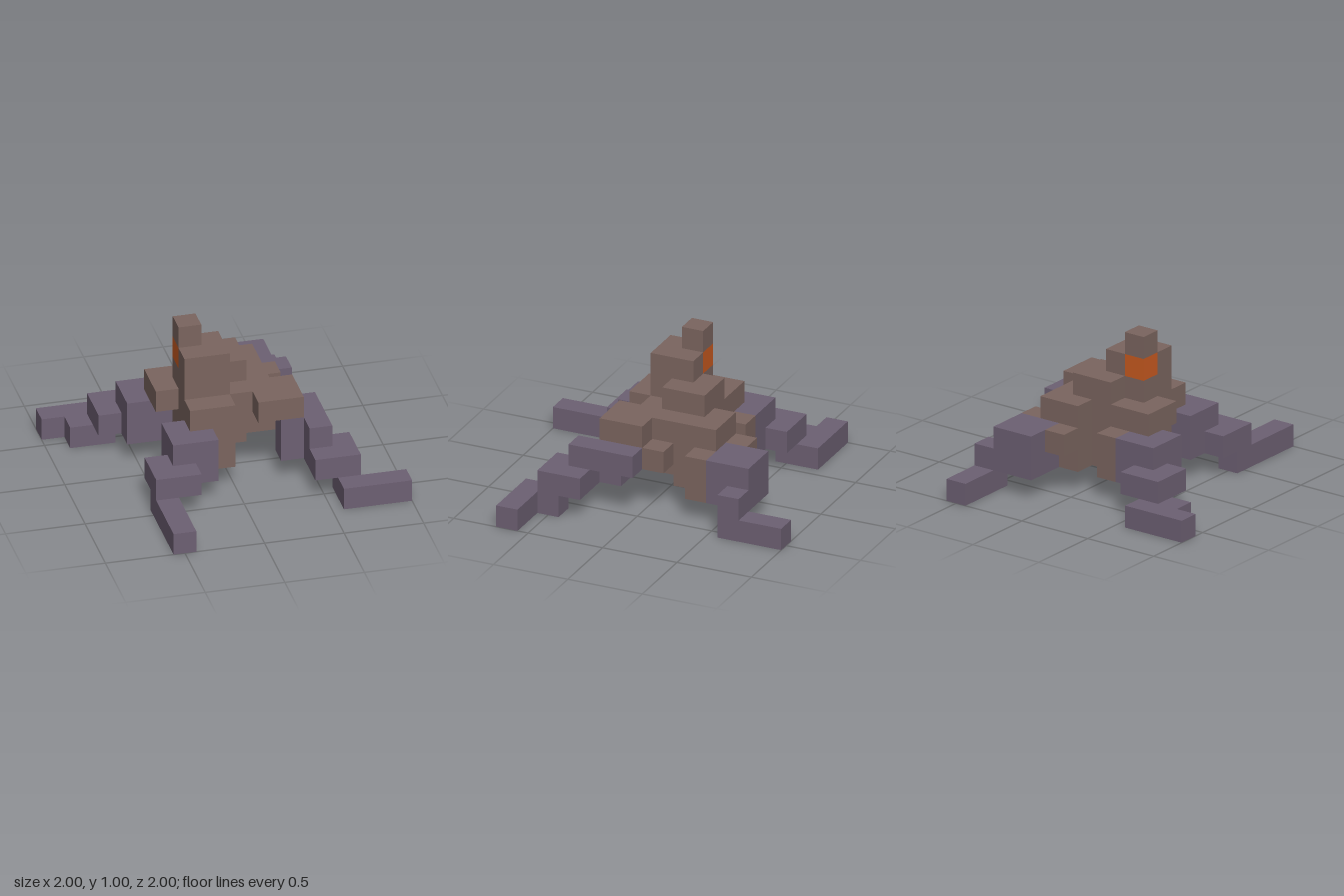
import * as THREE from 'three';

const U = 1 / 7; // edge of one block

function material(name, color) {
  const m = new THREE.MeshStandardMaterial({ color });
  m.name = name;
  return m;
}

export function createModel() {
  const brown = material('brown bark', 0x7b655f);
  const purple = material('dusky purple', 0x6d6073);
  const orange = material('glowing orange', 0xc85a20);
  const model = new THREE.Group();
  model.name = 'blockModel';

  // Each box is [x0, x1, y0, y1, z0, z1] in block units
  function part(name, mat, boxes) {
    const group = new THREE.Group();
    group.name = name;
    boxes.forEach(([x0, x1, y0, y1, z0, z1], i) => {
      const geo = new THREE.BoxGeometry((x1 - x0) * U, (y1 - y0) * U, (z1 - z0) * U);
      const mesh = new THREE.Mesh(geo, mat);
      mesh.name = `${name}Block${i + 1}`;
      mesh.position.set((x0 + x1) * U / 2, (y0 + y1) * U / 2, (z0 + z1) * U / 2);
      group.add(mesh);
    });
    model.add(group);
  }

  // Stepped body
  part('body', brown, [
    [-2, 0, 1, 4, 0, 2],    // front right shoulder
    [-2, 0, 1, 4, -2, 0],   // core
    [-3, -2, 3, 4, -2, 0],  // side overhang
    [0, 2, 2, 4, -3, 1],    // left half
    [0, 1, 1, 2, -3, 0],    // stepped underside
    [1, 2, 1, 2, -3, -1],
    [1, 2, 3, 4, 1, 2],     // front left shoulder
    [2, 3, 3, 4, 0, 2],
    [-1, 1, 4, 5, -2, -1],  // upper back step
    [0, 1, 4, 5, -1, 0],
  ]);
  part('bodyKnobs', brown, [
    [2, 3, 2, 3, -1, 0],
    [2, 3, 1, 3, -3, -2],
    [0, 1, 2, 3, -4, -3],
    [-2, -1, 1, 3, -3, -2],
  ]);

  // Tower with a glowing block at its back corner
  part('tower', brown, [
    [-2, 0, 4, 5, -1, 1],
    [-2, 0, 5, 6, 0, 1],
    [-1, 0, 5, 6, -1, 0],
    [-2, -1, 6, 7, -1, 0],
  ]);
  part('ember', orange, [[-2, -1, 5, 6, -1, 0]]);

  // Four crooked legs
  part('frontRightLeg', purple, [
    [-3, -2, 1, 3, 1, 3],
    [-2, -1, 1, 3, 2, 3],
    [-4, -3, 1, 2, 2, 4],
    [-3, -2, 1, 2, 3, 4],
    [-4, -3, 0, 1, 3, 7],
  ]);
  part('frontLeftLeg', purple, [
    [2, 3, 2, 3, 0, 2],
    [2, 3, 1, 2, 1, 2],
    [3, 4, 2, 3, 0, 3],
    [3, 5, 1, 2, 2, 4],
    [4, 5, 0, 1, 3, 4],
    [4, 7, 0, 1, 4, 5],
  ]);
  part('backLeftLeg', purple, [
    [1, 3, 1, 3, -5, -3],
    [3, 4, 0, 2, -5, -4],
    [3, 4, 0, 1, -7, -5],
  ]);
  part('backRightLeg', purple, [
    [-4, -2, 1, 3, -3, -2],
    [-4, -2, 1, 3, -2, -1],
    [-5, -3, 1, 2, -4, -3],
    [-5, -4, 1, 2, -3, -2],
    [-6, -4, 0, 1, -4, -3],
    [-7, -4, 0, 1, -5, -4],
  ]);

  return model;
}
